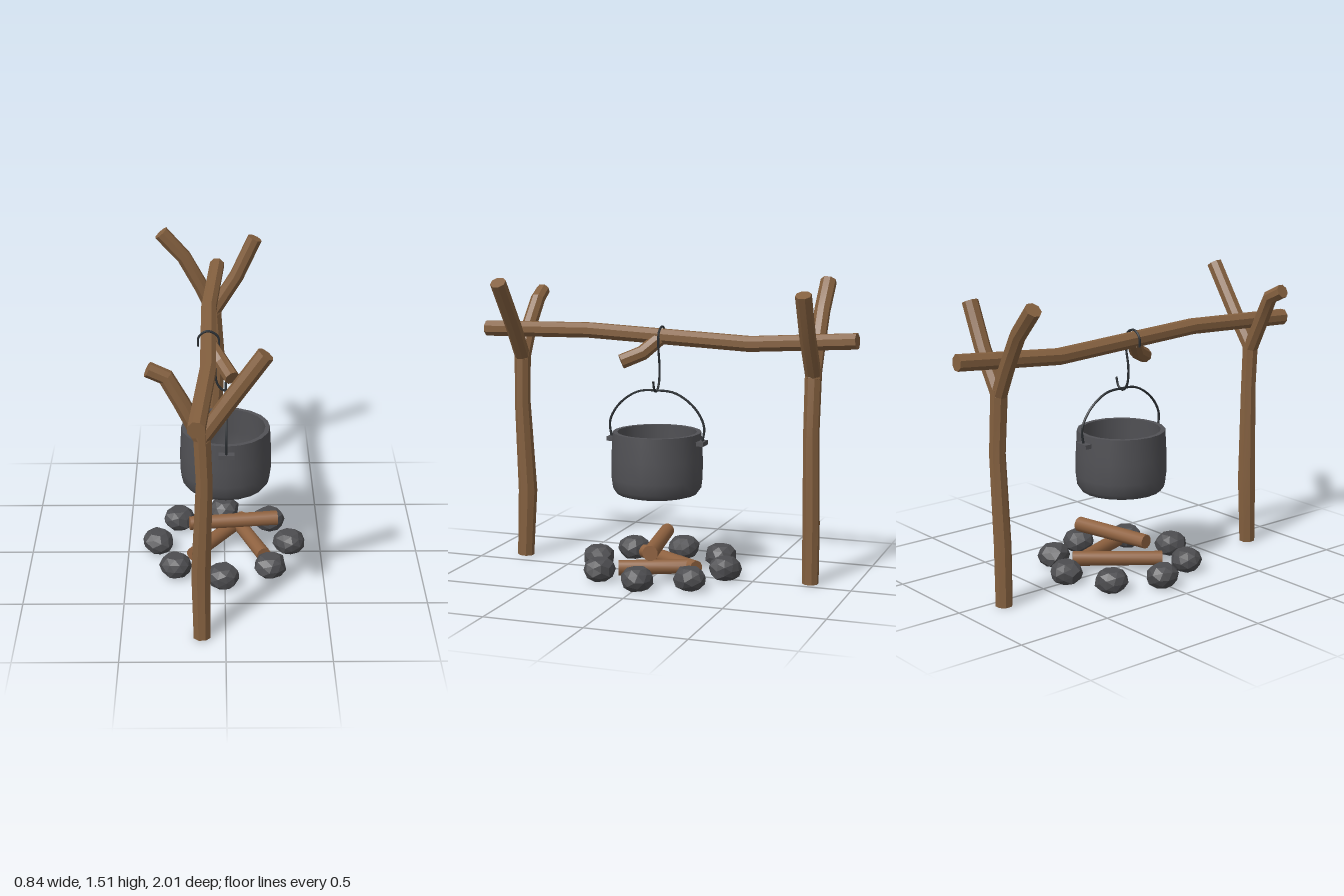
import * as THREE from 'three';
import { toCreasedNormals } from 'three/addons/utils/BufferGeometryUtils.js';

const material = (name, color) => Object.assign(new THREE.MeshStandardMaterial({ color }), { name });
const V = (p) => new THREE.Vector3(...p);

// Tapered, bent, capped limb: rings of `sides` corners along points [x, y, z, radius]
function limbGeometry(points, sides, crease) {
  const centres = points.map(([x, y, z]) => V([x, y, z]));
  const pos = [], index = [], last = points.length - 1;
  const axis = centres[last].clone().sub(centres[0]).normalize();
  const ref = Math.abs(axis.y) > 0.6 ? V([0, 0, 1]) : V([0, 1, 0]);
  centres.forEach((c, i) => {
    const t = centres[Math.min(i + 1, last)].clone().sub(centres[Math.max(i - 1, 0)]).normalize();
    const u = ref.clone().addScaledVector(t, -ref.dot(t)).normalize();
    const v = t.clone().cross(u);
    for (let j = 0; j < sides; j++) {
      const a = ((j + 0.5) / sides) * Math.PI * 2;
      const p = c.clone().addScaledVector(u, Math.cos(a) * points[i][3]).addScaledVector(v, Math.sin(a) * points[i][3]);
      pos.push(p.x, p.y, p.z);
    }
  });
  const base = pos.length / 3;
  pos.push(...centres[0].toArray(), ...centres[last].toArray());
  for (let j = 0; j < sides; j++) {
    const k = (j + 1) % sides;
    for (let i = 0; i < last; i++) {
      const a = i * sides + j, b = i * sides + k;
      index.push(a, b, b + sides, a, b + sides, a + sides);
    }
    index.push(base, k, j, base + 1, last * sides + j, last * sides + k);
  }
  const g = new THREE.BufferGeometry();
  g.setAttribute('position', new THREE.Float32BufferAttribute(pos, 3));
  g.setIndex(index);
  return toCreasedNormals(g, crease);
}

// Stone: faceted, squashed ball with flat top and bottom
function stoneGeometry(seed) {
  const g = new THREE.IcosahedronGeometry(1, 1);
  const p = g.attributes.position;
  for (let i = 0; i < p.count; i++) {
    const x = p.getX(i), y = p.getY(i), z = p.getZ(i);
    const k = 1 + 0.08 * Math.sin(5 * x + seed * 2.3) * Math.cos(4 * z + 3 * y + seed);
    p.setXYZ(i, x * k * 0.082, THREE.MathUtils.clamp(y * k * 0.07, -0.053, 0.055), z * k * 0.082);
  }
  g.computeVertexNormals();
  return g;
}

export function createModel() {
  const model = new THREE.Group();
  model.name = 'campfireCookingFrame';
  const bark = material('bark', 0x84603f);
  const firewood = material('firewood', 0x8f6240);
  const iron = material('castIron', 0x515155);
  const wire = material('darkWire', 0x2c3034);
  const stone = material('stone', 0x4d4d50);

  const add = (name, geometry, mat, parent = model) => {
    const mesh = new THREE.Mesh(geometry, mat);
    mesh.name = name;
    parent.add(mesh);
    return mesh;
  };
  const group = (name) => {
    const g = new THREE.Group();
    g.name = name;
    model.add(g);
    return g;
  };
  const limb = (name, points, parent) => add(name, limbGeometry(points, 8, 0.3), bark, parent);

  // Forked posts
  const front = group('frontPost');
  limb('trunk', [[-0.113, 0, 0.79, 0.043], [-0.116, 0.35, 0.775, 0.049], [-0.098, 0.83, 0.79, 0.041],
    [-0.108, 1.09, 0.79, 0.042]], front);
  limb('rightBranch', [[-0.1, 1.04, 0.79, 0.04], [-0.195, 1.23, 0.785, 0.039], [-0.265, 1.35, 0.77, 0.038],
    [-0.345, 1.39, 0.775, 0.036]], front);
  limb('leftBranch', [[-0.115, 1.05, 0.79, 0.04], [0.01, 1.23, 0.785, 0.041], [0.175, 1.467, 0.79, 0.041]], front);

  const back = group('backPost');
  limb('trunk', [[-0.06, 0, -0.78, 0.042], [-0.058, 0.3, -0.78, 0.043], [-0.03, 0.75, -0.78, 0.04],
    [-0.055, 1.07, -0.78, 0.042]], back);
  limb('rightBranch', [[-0.045, 1.02, -0.78, 0.04], [-0.12, 1.18, -0.78, 0.04], [-0.21, 1.345, -0.78, 0.04],
    [-0.33, 1.48, -0.78, 0.041]], back);
  limb('leftBranch', [[-0.06, 1.03, -0.78, 0.04], [0.07, 1.24, -0.78, 0.04], [0.165, 1.45, -0.78, 0.04]], back);

  // Crossbar with a broken side twig
  limb('crossbar', [[-0.13, 1.2, 1, 0.042], [-0.08, 1.217, 0.4, 0.041], [-0.08, 1.18, -0.45, 0.041],
    [-0.035, 1.22, -0.998, 0.041]]);
  limb('crossbarTwig', [[-0.075, 1.19, 0.02, 0.037], [-0.015, 1.12, 0.09, 0.038], [0.035, 1.078, 0.185, 0.038]]);

  // Cooking pot: closed wall profile, open at the top
  const pot = group('pot');
  const profile = [[0, 0.41], [0.17, 0.41], [0.205, 0.42], [0.223, 0.445], [0.23, 0.5], [0.23, 0.6], [0.223, 0.73],
    [0.2, 0.73], [0.205, 0.6], [0.205, 0.5], [0.19, 0.445], [0, 0.435]];
  const body = new THREE.LatheGeometry(profile.map(([r, y]) => new THREE.Vector2(r, y)), 20);
  add('potBody', toCreasedNormals(body, 0.9), iron, pot).position.set(0.005, 0, 0.005);
  for (const s of [1, -1]) {
    add('handleLug', new THREE.BoxGeometry(0.078, 0.022, 0.05), iron, pot).position.set(0.007, 0.685, 0.005 + s * 0.232);
  }

  // Wire handle and hanging hook
  const tube = (name, pts, r, parent) => add(name,
    new THREE.TubeGeometry(new THREE.CatmullRomCurve3(pts.map(V)), 40, r, 6), wire, parent);
  tube('potHandle', [[0.24, 0.68], [0.25, 0.77], [0.2, 0.86], [0.1, 0.928], [0, 0.938], [-0.1, 0.928],
    [-0.2, 0.86], [-0.25, 0.77], [-0.24, 0.68]].map(([z, y]) => [0.007, y, z + 0.007]), 0.006, pot);
  tube('hook', [[-0.13, 1.17], [-0.127, 1.22], [-0.085, 1.25], [-0.035, 1.225], [-0.028, 1.15], [-0.045, 1.05],
    [-0.035, 0.965], [-0.002, 0.932], [0.032, 0.945], [0.048, 0.99]].map(([x, y]) => [x, y, 0.01]), 0.006);

  // Firewood
  const logs = [
    [[-0.18, 0.178, 0.015, 0.036], [0.272, 0.17, -0.055, 0.039]],
    [[-0.165, 0.06, 0.135, 0.036], [0.1, 0.068, -0.235, 0.038]],
    [[0.2, 0.062, 0.14, 0.038], [0.07, 0.068, -0.19, 0.036]],
  ];
  const fire = group('firewoodPile');
  logs.forEach((ends) => add('log', limbGeometry(ends, 12, 0.7), firewood, fire));

  // Ring of stones
  const ring = group('stoneRing');
  [[-0.24, -0.26], [0, -0.355], [0.24, -0.25], [0.335, -0.01], [0.23, 0.23], [-0.01, 0.33], [-0.25, 0.225],
    [-0.345, -0.02]].forEach(([x, z], i) => {
    const s = add('stone', stoneGeometry(i + 1), stone, ring);
    s.position.set(x, 0.053, z);
    s.rotation.y = i * 1.3;
  });

  return model;
}
